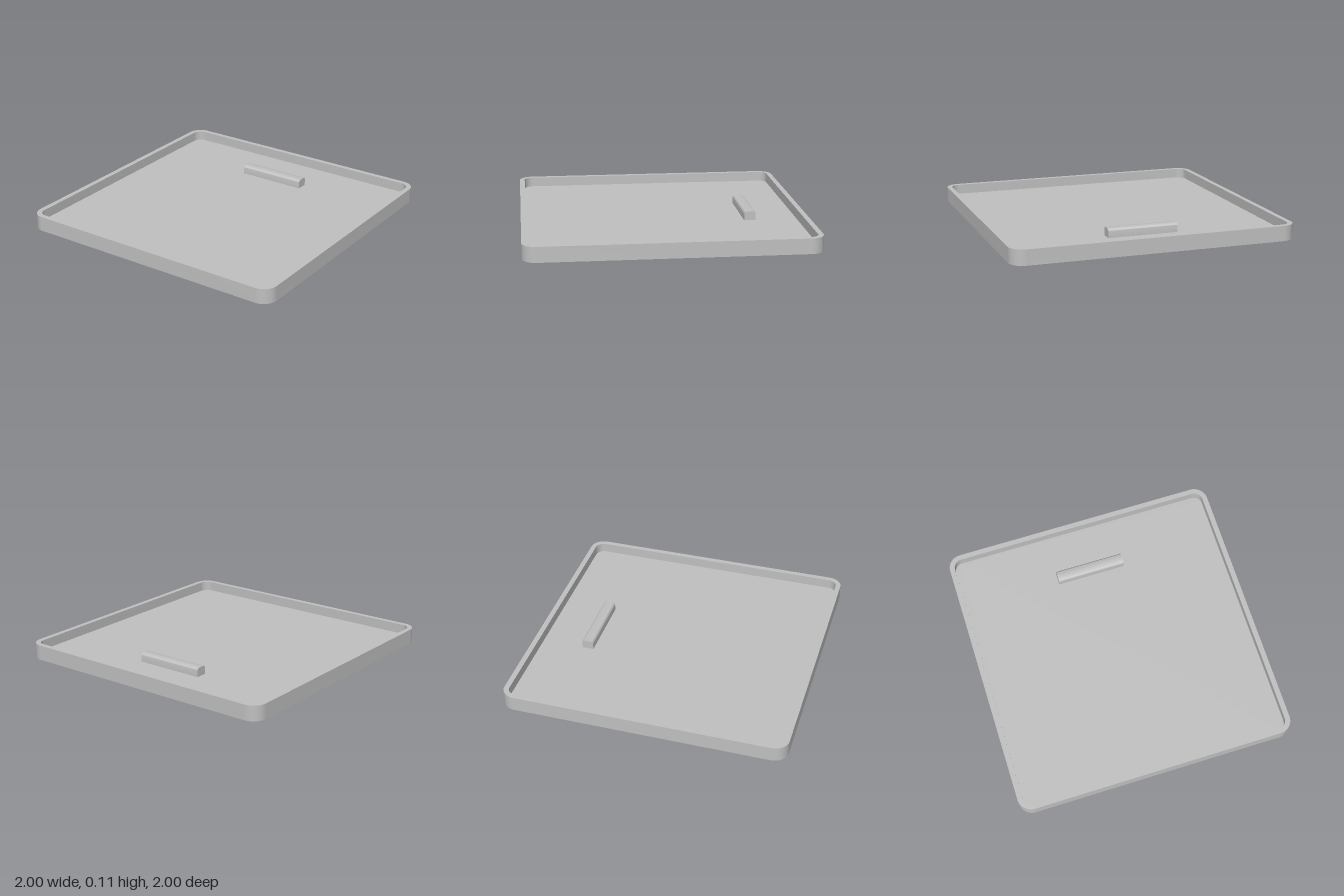
import * as THREE from 'three';
import { toCreasedNormals } from 'three/addons/utils/BufferGeometryUtils.js';

const HEIGHT = 0.107, FLOOR = 0.037, WALL = 0.037, RADIUS = 0.1;

// Traces a square with rounded corners, centred on the origin
function roundedSquare(path, half, r) {
  const c = half - r;
  path.moveTo(c, -half);
  path.absarc(c, -c, r, -Math.PI / 2, 0);
  path.absarc(c, c, r, 0, Math.PI / 2);
  path.absarc(-c, c, r, Math.PI / 2, Math.PI);
  path.absarc(-c, -c, r, Math.PI, Math.PI * 1.5);
  path.closePath();
  return path;
}

// Extrudes a shape with smooth curves and sharp edges
function extrude(shape, depth) {
  const geometry = new THREE.ExtrudeGeometry(shape, { depth, bevelEnabled: false, curveSegments: 16 });
  return toCreasedNormals(geometry, 0.5);
}

export function createModel() {
  const group = new THREE.Group();
  group.name = 'tray';
  const gray = new THREE.MeshStandardMaterial({ color: 0xc0c0c0 });
  gray.name = 'light gray';

  const add = (name, geometry) => {
    const mesh = new THREE.Mesh(geometry, gray);
    mesh.name = name;
    group.add(mesh);
    return mesh;
  };

  // Raised wall running around the edge
  const wall = roundedSquare(new THREE.Shape(), 1, RADIUS);
  wall.holes.push(roundedSquare(new THREE.Path(), 1 - WALL, RADIUS - WALL));
  add('rim', extrude(wall, HEIGHT).rotateX(-Math.PI / 2));

  // Floor filling the space inside the wall
  const base = roundedSquare(new THREE.Shape(), 1 - WALL, RADIUS - WALL);
  add('floor', extrude(base, FLOOR).rotateX(-Math.PI / 2));

  // Bar on the floor, with its two long top edges rounded
  const w = 0.041, top = 0.1 - FLOOR, r = 0.018, length = 0.5;
  const section = new THREE.Shape();
  section.moveTo(-w, 0);
  section.lineTo(w, 0);
  section.absarc(w - r, top - r, r, 0, Math.PI / 2);
  section.absarc(-w + r, top - r, r, Math.PI / 2, Math.PI);
  section.closePath();
  const bar = add('bar', extrude(section, length).translate(0, 0, -length / 2).rotateY(Math.PI / 2));
  bar.position.set(-0.008, FLOOR, -0.624);

  return group;
}
